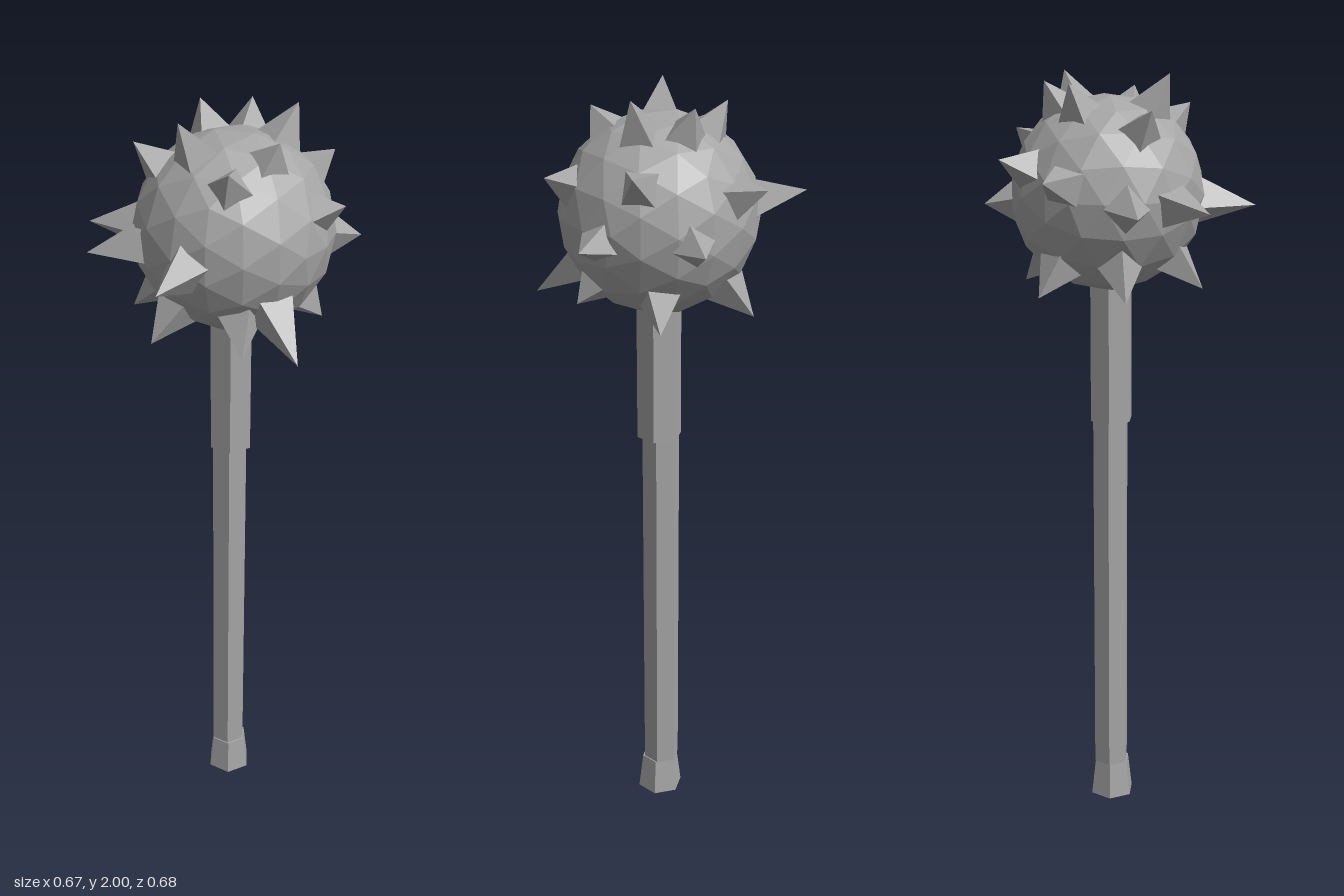
import * as THREE from 'three';

export function createModel() {
  const model = new THREE.Group();
  const steel = new THREE.MeshStandardMaterial({ color: 0xa6a6a6, flatShading: true });
  steel.name = 'grey steel';
  const centre = new THREE.Vector3(0.04, 1.7, -0.03);
  const up = new THREE.Vector3(0, 1, 0);

  function add(name, geometry, x, y, z, parent = model) {
    const mesh = new THREE.Mesh(geometry, steel);
    mesh.name = name;
    mesh.position.set(x, y, z);
    parent.add(mesh);
    return mesh;
  }

  // Hexagonal handle, with a flared foot and a thicker collar under the head
  const hexagon = (top, bottom, height) =>
    new THREE.CylinderGeometry(top, bottom, height, 6).rotateY(0.25);
  add('pommel', hexagon(0.05, 0.062, 0.1), 0.037, 0.05, -0.022);
  add('shaft', hexagon(0.05, 0.049, 1.1), 0.034, 0.65, -0.025);
  add('collar', hexagon(0.059, 0.059, 0.42), 0.037, 1.31, -0.022);

  // Faceted ball
  add('ball', new THREE.IcosahedronGeometry(0.25, 2), centre.x, centre.y, centre.z);

  // Spike tips: upper ring, middle ring, lower ring
  const tips = [
    [-0.08, 1.98, -0.145], [0.04, 1.98, -0.19], [0.173, 2, -0.12], [0.175, 1.96, 0.065],
    [0.09, 1.92, 0.195], [-0.056, 2, 0.11], [-0.19, 1.92, 0.04],
    [-0.333, 1.68, -0.02], [-0.255, 1.76, -0.235], [-0.08, 1.8, -0.32], [0.105, 1.67, -0.34],
    [0.24, 1.85, -0.24], [0.333, 1.67, -0.15], [0.327, 1.81, 0.025],
    [-0.04, 1.67, 0.34], [-0.27, 1.68, 0.168], [0.265, 1.47, 0.205],
    [0.13, 1.47, 0.21], [-0.105, 1.47, 0.19], [-0.225, 1.46, -0.03],
    [-0.11, 1.46, -0.23], [0.16, 1.46, -0.23], [0.27, 1.5, -0.02],
  ];
  const spikes = new THREE.Group();
  spikes.name = 'spikes';
  model.add(spikes);
  const inner = 0.215;
  for (const [x, y, z] of tips) {
    const direction = new THREE.Vector3(x, y, z).sub(centre);
    const reach = direction.length();
    direction.normalize();
    const height = reach - inner;
    const cone = new THREE.ConeGeometry(0.07, height, 4).translate(0, inner + height / 2, 0);
    const spike = add('spike', cone, centre.x, centre.y, centre.z, spikes);
    spike.quaternion.setFromUnitVectors(up, direction);
  }
  return model;
}
